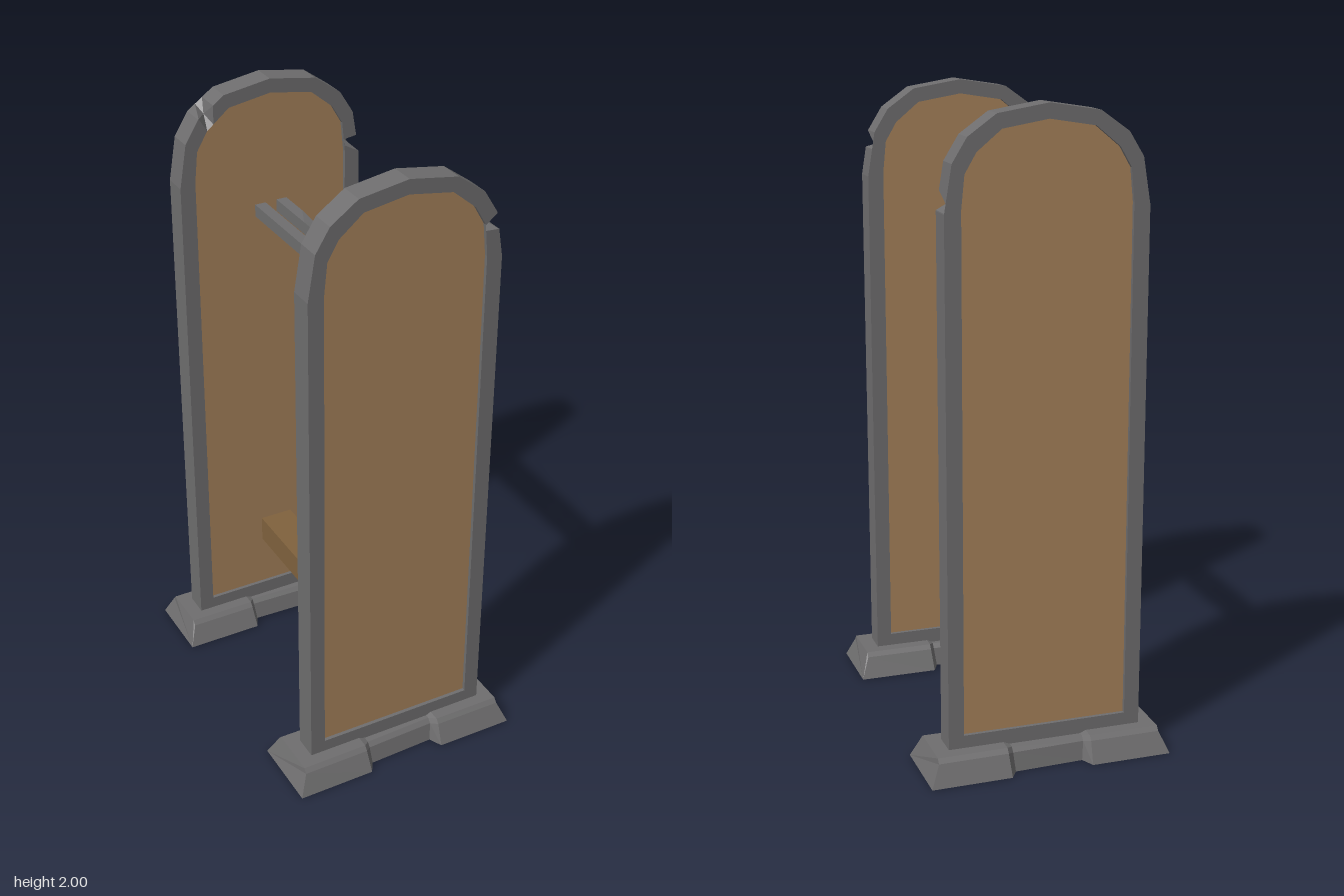
import * as THREE from 'three';

const mat = (name, color) => {
  const m = new THREE.MeshStandardMaterial({ color });
  m.name = name;
  return m;
};

// Joins equal-sized rings of points into a faceted solid; closed joins last ring to first.
function loft(rings, closed = false) {
  const n = rings[0].length, pos = [];
  const tri = (a, b, c) => pos.push(...a, ...b, ...c);
  const spans = closed ? rings.length : rings.length - 1;
  for (let i = 0; i < spans; i++) {
    const a = rings[i], b = rings[(i + 1) % rings.length];
    for (let j = 0; j < n; j++) {
      const k = (j + 1) % n;
      tri(a[j], a[k], b[k]);
      tri(a[j], b[k], b[j]);
    }
  }
  if (!closed) {
    const a = rings[0], b = rings[rings.length - 1];
    for (let j = 1; j < n - 1; j++) {
      tri(a[0], a[j + 1], a[j]);
      tri(b[0], b[j], b[j + 1]);
    }
  }
  // Turn the faces outward if the signed volume is negative
  let volume = 0;
  for (let i = 0; i < pos.length; i += 9) {
    const [a, b, c] = [0, 3, 6].map(o => new THREE.Vector3(...pos.slice(i + o, i + o + 3)));
    volume += a.dot(b.cross(c));
  }
  if (volume < 0) {
    for (let i = 0; i < pos.length; i += 9) {
      for (let k = 0; k < 3; k++) [pos[i + 3 + k], pos[i + 6 + k]] = [pos[i + 6 + k], pos[i + 3 + k]];
    }
  }
  const g = new THREE.BufferGeometry();
  g.setAttribute('position', new THREE.Float32BufferAttribute(pos, 3));
  g.computeVertexNormals();
  return g;
}

// Right half of the arch as [outer x, outer y, inner x, inner y], bottom to crown
const HALF = [
  [0.308, 0.07, 0.26, 0.12],
  [0.31, 1.7, 0.26, 1.71],
  [0.287, 1.84, 0.25, 1.81],
  [0.242, 1.913, 0.215, 1.87],
  [0.155, 1.975, 0.14, 1.932],
  [0, 2, 0, 1.955],
];
const ARCH = [...HALF, ...HALF.slice(0, -1).reverse().map(([a, b, c, d]) => [-a, b, -c, d])];

// Stone arch; each chip is [segment, position, half length] on the outer front edge
function frameGeometry(chips) {
  const ring = ([ox, oy, ix, iy], dent = 0) => [
    [ox + (ix - ox) * dent, oy + (iy - oy) * dent, 0.04 - dent * 0.09],
    [ix, iy, 0.04], [ix, iy, -0.04], [ox, oy, -0.04],
  ];
  const rings = [];
  ARCH.forEach((s, i) => {
    rings.push(ring(s));
    const next = ARCH[(i + 1) % ARCH.length];
    for (const [seg, t, d] of chips) {
      if (seg !== i) continue;
      for (const [u, dent] of [[t - d, 0], [t, 0.5], [t + d, 0]]) {
        rings.push(ring(s.map((v, k) => v + (next[k] - v) * u), dent));
      }
    }
  });
  return loft(rings, true);
}

// Bevelled foot with a narrow waist: [bottom x, top x, half depth, height, bevel]
function footGeometry() {
  const stations = [
    [-0.385, -0.355, 0.124, 0.08, 0.03],
    [-0.132, -0.135, 0.122, 0.08, 0.03],
    [-0.11, -0.115, 0.086, 0.072, 0.012],
    [0.108, 0.115, 0.078, 0.072, 0.012],
    [0.128, 0.132, 0.12, 0.08, 0.03],
    [0.382, 0.355, 0.12, 0.08, 0.03],
  ];
  return loft(stations.map(([x, tx, w, h, b]) => [
    [x, 0, -w], [tx, h - 0.014, -w + b], [tx, h, -w + b + 0.012],
    [tx, h, w - b - 0.012], [tx, h - 0.014, w - b], [x, 0, w],
  ]));
}

// Rough bar along z with small dents; notches are [z, half length, bottom rise, top corner drop]
function barGeometry(x0, x1, y0, y1, notches) {
  const ring = (z, rise = 0, drop = 0) => [
    [x0, y0, z], [x1, y0 + rise, z], [x1, y1 - drop, z], [x0, y1, z],
  ];
  const rings = [ring(-0.39)];
  for (const [z, d, rise, drop] of notches) {
    rings.push(ring(z - d), ring(z, rise, drop), ring(z + d));
  }
  rings.push(ring(0.39));
  return loft(rings);
}

export function createModel() {
  const stone = mat('grey stone', 0x6e6d6e);
  const panelWood = mat('light wood', 0xa5815a);
  const beamWood = mat('dark wood', 0x80623d);
  const model = new THREE.Group();
  model.name = 'archedStand';
  const add = (parent, name, geometry, material) => {
    const mesh = new THREE.Mesh(geometry, material);
    mesh.name = name;
    parent.add(mesh);
    return mesh;
  };

  // Wooden infill, set slightly behind the faces of the arch
  const outline = new THREE.Shape(ARCH.map(([, , x, y]) => new THREE.Vector2(x * 1.01, y)));
  const panel = new THREE.ExtrudeGeometry(outline, { depth: 0.056, bevelEnabled: false });
  panel.translate(0, 0, -0.028);

  // Two matching uprights: foot, arch and panel
  const uprights = [
    ['front', 0.42, [[1, 0.8, 0.18]]],
    ['back', -0.42, [[1, 0.22, 0.2], [6, 0.7, 0.28]]],
  ];
  for (const [name, z, chips] of uprights) {
    const upright = new THREE.Group();
    upright.name = name + 'Upright';
    upright.position.z = z;
    add(upright, name + 'Foot', footGeometry(), stone).rotation.y = z < 0 ? Math.PI : 0;
    add(upright, name + 'Arch', frameGeometry(chips), stone);
    add(upright, name + 'Panel', panel, panelWood);
    model.add(upright);
  }

  // Low wooden beam and the pair of upper rails
  add(model, 'lowerBeam', barGeometry(-0.058, 0.053, 0.302, 0.39,
    [[-0.17, 0.05, 0.012, 0.004], [0.14, 0.06, 0.01, 0.006]]), beamWood);
  add(model, 'leftRail', barGeometry(0.02, 0.055, 1.552, 1.592,
    [[-0.2, 0.08, 0.004, 0.006], [0.15, 0.06, 0.009, 0.003]]), stone);
  add(model, 'rightRail', barGeometry(-0.055, -0.018, 1.55, 1.59,
    [[0.1, 0.08, 0.006, 0.004]]), stone);
  return model;
}
